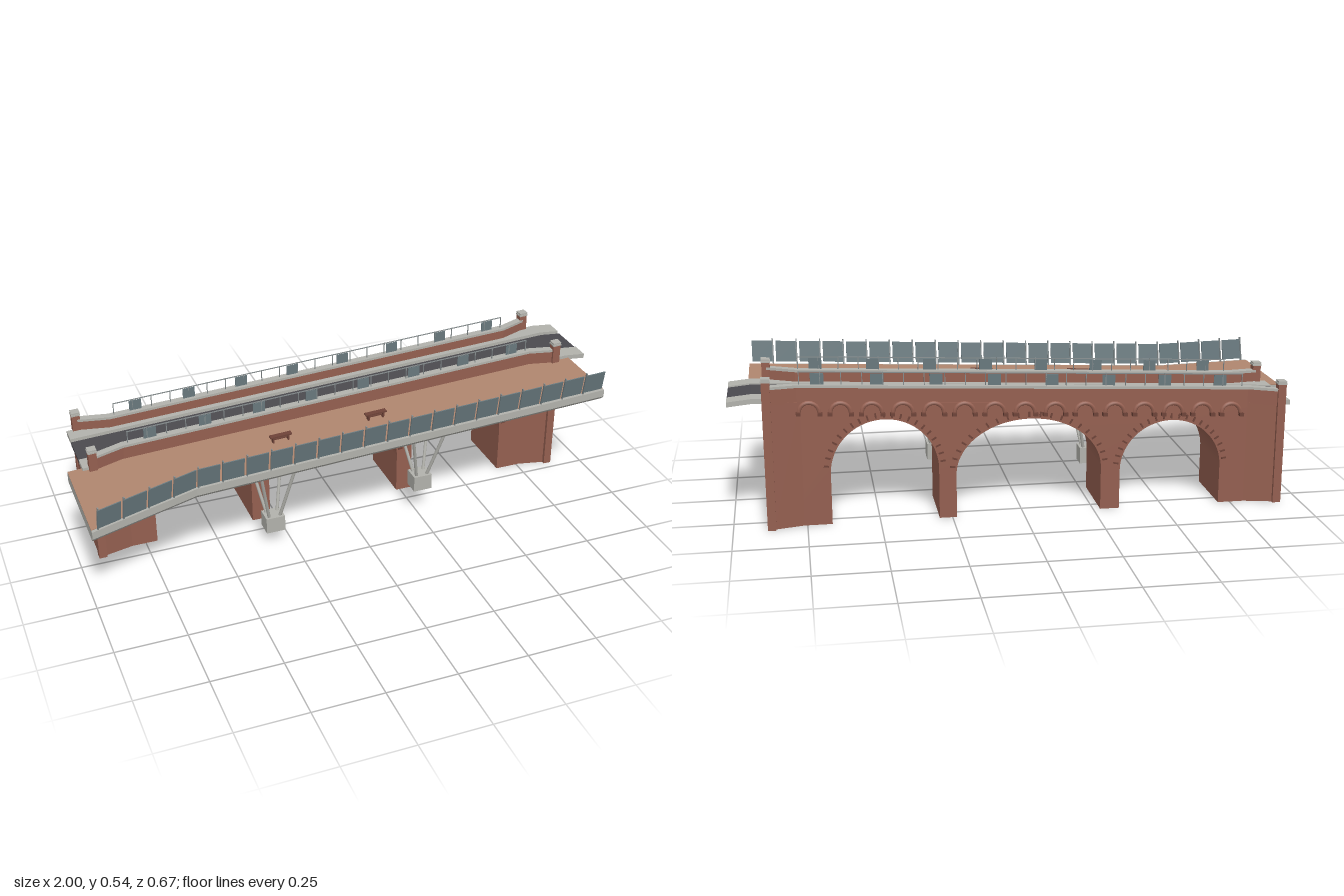
import * as THREE from 'three';
import { mergeGeometries } from 'three/addons/utils/BufferGeometryUtils.js';

const SLOPE = 0.0466;   // the whole crossing climbs towards +x
const MID = -0.1825;    // centre line of the masonry bridge
const flip = z => 2 * MID - z;
const rise = x => SLOPE * Math.min(x, 0.92) - 0.1 * Math.max(0, x - 0.92);

const mat = (name, color) => {
  const m = new THREE.MeshStandardMaterial({ color });
  m.name = name;
  return m;
};

// Box section swept along stations [x, zBack, zFront]; heights follow the slope, except the ground
function loft(stations, y0, y1, inset = 0) {
  const pos = [];
  const quad = (a, b, c, d) => pos.push(...a, ...b, ...c, ...a, ...c, ...d);
  const rings = stations.map(([x, za, zb]) => {
    const lo = y0 === 0 ? 0 : y0 + rise(x), hi = y1 + rise(x);
    return [[x, lo, za], [x, lo, zb - inset], [x, hi, zb], [x, hi, za]];
  });
  for (let i = 0; i < rings.length - 1; i++) {
    for (let k = 0; k < 4; k++) {
      const n = (k + 1) % 4;
      quad(rings[i][k], rings[i + 1][k], rings[i + 1][n], rings[i][n]);
    }
  }
  const [a, b, c, d] = rings[0];
  quad(a, b, c, d);
  const [e, f, g, h] = rings[rings.length - 1];
  quad(h, g, f, e);
  const geo = new THREE.BufferGeometry();
  geo.setAttribute('position', new THREE.Float32BufferAttribute(pos, 3));
  geo.computeVertexNormals();
  return geo;
}

// Shear a finished geometry to the slope
function climb(geo) {
  const p = geo.attributes.position;
  for (let i = 0; i < p.count; i++) p.setY(i, p.getY(i) + rise(p.getX(i)));
  geo.computeVertexNormals();
  return geo;
}

const box = (w, h, d, x, y, z) => new THREE.BoxGeometry(w, h, d).translate(x, y, z);

export function createModel() {
  const model = new THREE.Group();
  model.name = 'archBridge';
  const brick = mat('brick', 0x945f50);
  const darkBrick = mat('darkBrick', 0x6e4338);
  const stone = mat('stone', 0xb2b2ac);
  const asphalt = mat('asphalt', 0x4b4a4f);
  const paving = mat('paving', 0xb0866f);
  const panelBlue = mat('panelBlue', 0x68787d);
  const metal = mat('metal', 0x858c8d);
  const add = (name, geo, material) => {
    const m = new THREE.Mesh(Array.isArray(geo) ? mergeGeometries(geo) : geo, material);
    m.name = name;
    model.add(m);
    return m;
  };
  const both = st => [st, st.map(([x, a, b]) => [x, flip(b), flip(a)])];

  // Arched masonry wall: [centre, half width, spring height, rise]
  const arches = [[-0.525, 0.182, 0.14, 0.176], [-0.02, 0.255, 0.155, 0.19], [0.48, 0.185, 0.18, 0.186]];
  const wall = new THREE.Shape();
  wall.moveTo(-0.88, 0);
  for (const [cx, hw, spring, h] of arches) {
    wall.lineTo(cx - hw, 0);
    wall.lineTo(cx - hw, spring);
    wall.absellipse(cx, spring, hw, h, Math.PI, 0, true);
    wall.lineTo(cx + hw, 0);
  }
  wall.lineTo(0.84, 0);
  wall.lineTo(0.84, 0.404 + rise(0.84));
  wall.lineTo(-0.88, 0.404 + rise(-0.88));
  add('archWall', new THREE.ExtrudeGeometry(wall, { depth: 0.235, bevelEnabled: false, curveSegments: 28 })
    .translate(0, 0, -0.3), brick);

  // Flared abutments
  add('rightAbutment', loft([[-0.925, flip(-0.036), -0.036], [-0.9, flip(-0.042), -0.042], [-0.8, -0.3, -0.065]], 0, 0.404), brick);
  add('leftAbutment', loft([[0.76, -0.3, -0.065], [0.86, flip(-0.042), -0.042], [0.884, flip(-0.036), -0.036]], 0, 0.404), brick);

  // Voussoir marks round each arch, on both faces
  const marks = [];
  for (const [cx, hw, spring, h] of arches) {
    for (let i = 1; i < 22; i++) {
      const t = i / 22 * Math.PI;
      for (const z of [-0.0645, -0.3005]) {
        marks.push(new THREE.BoxGeometry(0.018, 0.006, 0.005).rotateZ(t)
          .translate(cx + (hw + 0.016) * Math.cos(t), spring + (h + 0.016) * Math.sin(t), z));
      }
    }
  }
  add('voussoirs', marks, darkBrick);

  // Scalloped corbel course on the back wall
  const scallops = [], corbels = [];
  for (let i = 0; i < 15; i++) {
    const x = -0.74 + i * 0.105;
    scallops.push(climb(new THREE.TorusGeometry(0.034, 0.007, 6, 12, Math.PI).translate(x, 0.368, -0.302)));
    for (const s of [-1, 1]) corbels.push(climb(box(0.016, 0.012, 0.02, x + s * 0.036, 0.364, -0.307)));
  }
  add('corbelArches', scallops, brick);
  add('corbels', corbels, darkBrick);

  // Carriageway and footways, dipping at the +x end
  add('roadway', loft([[-0.95, -0.243, -0.11], [0.92, -0.243, -0.11], [1, -0.243, -0.11]], 0.402, 0.414), asphalt);
  const walk = [[-0.95, -0.11, -0.046], [-0.9, -0.11, -0.046], [-0.8, -0.11, -0.07], [0.77, -0.11, -0.07],
    [0.87, -0.11, -0.046], [0.92, -0.11, -0.046], [1, -0.11, -0.046]];
  add('footways', both(walk).map(s => loft(s, 0.402, 0.419)), stone);

  // Parapets with stone coping
  const path = [[-0.91, -0.046], [-0.8, -0.077], [0.77, -0.077], [0.868, -0.046]];
  const strip = w => both(path.map(([x, z]) => [x, z - w, z + w]));
  add('parapets', strip(0.011).map(s => loft(s, 0.4, 0.453)), brick);
  add('copings', strip(0.014).map(s => loft(s, 0.453, 0.462)), stone);

  // End pilasters and their caps
  const pillars = [], caps = [];
  for (const x of [-0.914, 0.87]) {
    const post = r => both([[x - r, -0.045 - r, -0.045 + r], [x + r, -0.045 - r, -0.045 + r]]);
    pillars.push(...post(0.0145).map(s => loft(s, 0, 0.48)));
    caps.push(...post(0.0165).map(s => loft(s, 0.478, 0.484)), ...post(0.014).map(s => loft(s, 0.484, 0.487)),
      ...post(0.0155).map(s => loft(s, 0.487, 0.491)));
  }
  add('pilasters', pillars, brick);
  add('pilasterCaps', caps, stone);

  // Slender railing above each parapet
  const rails = [], plates = [];
  for (const z of [-0.077, flip(-0.077)]) {
    rails.push(climb(box(1.54, 0.003, 0.003, -0.01, 0.505, z)));
    for (let i = 0; i <= 22; i++) rails.push(climb(box(0.003, 0.046, 0.003, -0.78 + i * 0.07, 0.484, z)));
    for (let i = 0; i < 8; i++) plates.push(climb(box(0.045, 0.038, 0.003, -0.7 + i * 0.2, 0.482, z)));
  }
  add('parapetRails', rails, metal);
  add('parapetPlates', plates, panelBlue);

  // Added walkway deck, widening at the -x end, with a chamfered lower edge
  const deck = (d, back = -0.068) => [[-1, back, 0.327 - d], [-0.62, back, 0.225 - d], [0.932, back, 0.225 - d]];
  add('walkwayDeck', [loft(deck(0), 0.38, 0.407), loft(deck(0), 0.366, 0.38, 0.013)], stone);
  add('walkwayPaving', loft(deck(0.013, -0.064), 0.406, 0.409), paving);

  // Outward-leaning panel fence along the deck edge
  const panels = [], posts = [];
  const fence = (x0, z0, x1, z1, n) => {
    const len = Math.hypot(x1 - x0, z1 - z0) / n, turn = -Math.atan2(z1 - z0, x1 - x0);
    const place = (g, t) => climb(g.rotateX(0.17).rotateY(turn)
      .translate(x0 + (x1 - x0) * t, 0.407, z0 + (z1 - z0) * t));
    for (let i = 0; i < n; i++) {
      panels.push(place(box(len - 0.008, 0.076, 0.004, 0, 0.045, 0), (i + 0.5) / n));
      posts.push(place(box(0.004, 0.092, 0.007, 0, 0.046, -0.002), (i + 0.08) / n));
    }
  };
  fence(-0.985, 0.32, -0.62, 0.221, 4);
  fence(-0.62, 0.221, 0.925, 0.221, 18);
  add('fencePanels', panels, panelBlue);
  add('fencePosts', posts, metal);

  // Splayed struts on hanging footing blocks
  for (const [x, y] of [[-0.31, 0.055], [0.265, 0.1]]) {
    add('footing', box(0.07, 0.06, 0.063, x, y + 0.03, 0.081), stone);
    const legs = [];
    for (const sx of [-1, 1]) {
      for (const sz of [-1, 1]) {
        const a = new THREE.Vector3(x + sx * 0.02, y + 0.055, 0.081 + sz * 0.016);
        const b = new THREE.Vector3(x + sx * 0.068, 0.37 + rise(x + sx * 0.068), 0.081 + sz * 0.082);
        legs.push(new THREE.TubeGeometry(new THREE.LineCurve3(a, b), 1, 0.006, 8));
      }
    }
    add('struts', legs, stone);
  }

  // Benches on the walkway
  for (const x of [-0.265, 0.095]) {
    add('bench', [
      box(0.08, 0.005, 0.02, x, 0.431, 0.055),
      box(0.006, 0.022, 0.016, x - 0.028, 0.419, 0.055),
      box(0.006, 0.022, 0.016, x + 0.028, 0.419, 0.055),
      box(0.05, 0.004, 0.005, x, 0.419, 0.055),
    ].map(climb), darkBrick);
  }
  return model;
}
